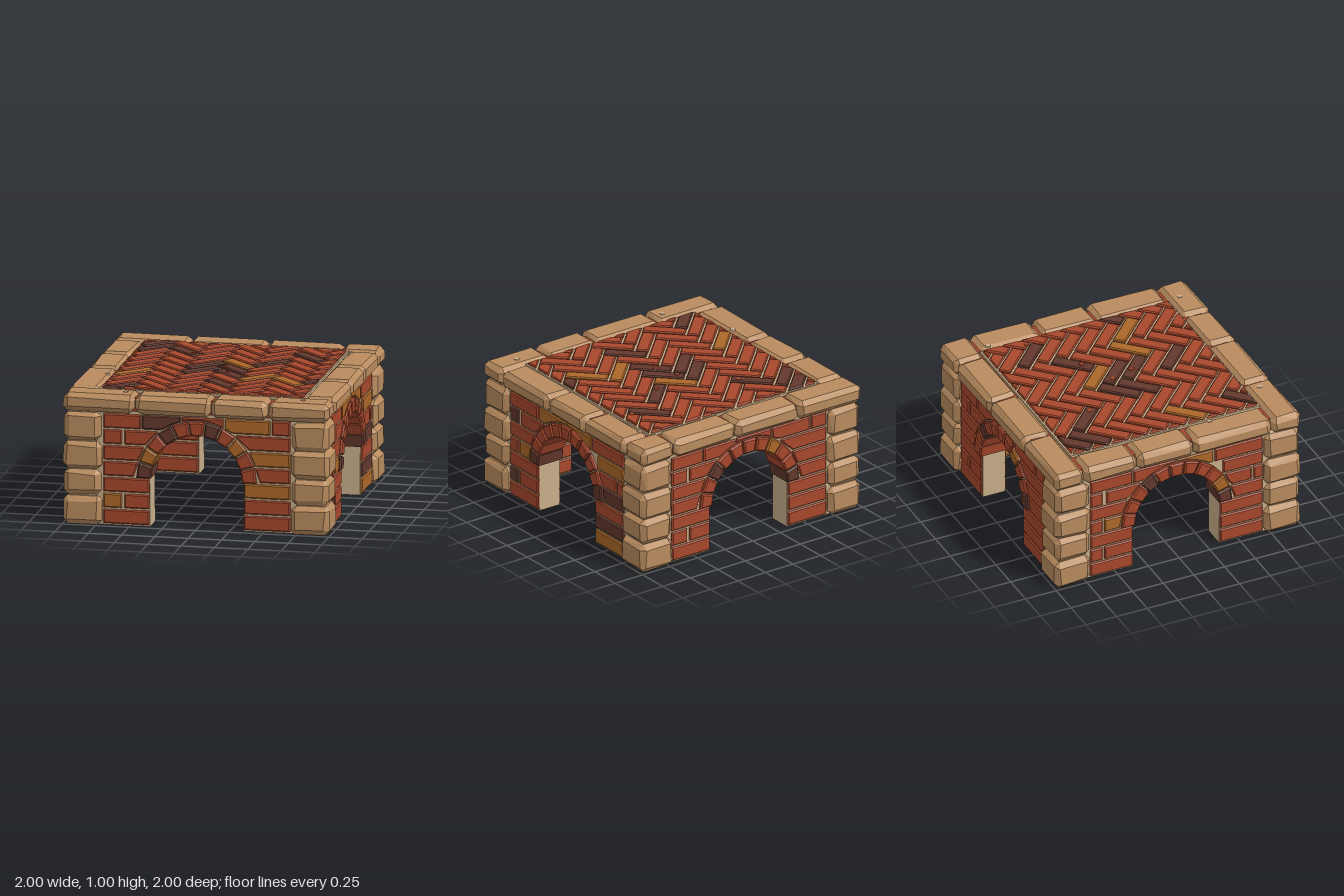
import * as THREE from 'three';
import { ConvexGeometry } from 'three/addons/geometries/ConvexGeometry.js';

const material = (name, color) => {
  const m = new THREE.MeshStandardMaterial({ color });
  m.name = name;
  return m;
};

export function createModel() {
  const mats = {
    r: material('red brick', 0xa8482c),
    d: material('dark brick', 0x63382d),
    o: material('ochre brick', 0xad6829),
    s: material('sandstone', 0xb98c5f),
    m: material('mortar', 0xc8ae8a),
    p: material('pale chip', 0xcdb08a),
  };
  const model = new THREE.Group();
  model.name = 'archedBrickPlatform';

  let seed = 7;
  const rand = () => (seed = (seed * 16807) % 2147483647) / 2147483647 - 0.5;

  const add = (parent, name, geometry, mat) => {
    const mesh = new THREE.Mesh(geometry, mats[mat]);
    mesh.name = name;
    parent.add(mesh);
    return mesh;
  };
  const group = (name, parent = model) => {
    const g = new THREE.Group();
    g.name = name;
    parent.add(g);
    return g;
  };
  const box = (parent, name, w, h, d, x, y, z, mat) =>
    add(parent, name, new THREE.BoxGeometry(w, h, d), mat).position.set(x, y, z);

  // Hewn block between two corners, with chamfered and slightly uneven edges
  const stone = (parent, name, lo, hi, c) => {
    const pts = [];
    for (let i = 0; i < 8; i++) {
      const side = [i & 1, (i >> 1) & 1, (i >> 2) & 1];
      for (let a = 0; a < 3; a++) {
        pts.push(new THREE.Vector3(...side.map((s, k) => {
          const inset = k === a ? 0 : c * (1 + rand() * 0.5);
          return s ? hi[k] - inset : lo[k] + inset;
        })));
      }
    }
    return add(parent, name, new ConvexGeometry(pts), 's');
  };

  // Bevelled prism of total thickness t, centred on z = 0
  const prism = (pts, t, b) => {
    const shape = new THREE.Shape(pts.map(([x, y]) => new THREE.Vector2(x, y)));
    const geo = new THREE.ExtrudeGeometry(shape, {
      depth: t - 2 * b, bevelEnabled: b > 0, bevelThickness: b,
      bevelSize: b, bevelOffset: -b, bevelSegments: 1,
    });
    return geo.translate(0, 0, b - t / 2);
  };

  // Walls: a mortar core with an arch, brick courses and an arch ring
  const CY = 0.36, RING = 0.455, OPEN = 0.35;
  const brickOutline = (x0, x1, y0, y1) => {
    const pts = [[x1, y1], [x0, y1]];
    if (y0 < CY) return [...pts, [x0, y0], [x1, y0]];
    const reach = y1 - CY < RING ? Math.sqrt(RING ** 2 - (y1 - CY - 0.01) ** 2) : 0;
    if (x0 > 0) x0 = Math.max(x0, reach);
    else if (x1 < 0) x1 = Math.min(x1, -reach);
    pts[0][0] = x1;
    pts[1][0] = x0;
    const n = Math.min(Math.abs(x0), Math.abs(x1)) < RING || x0 * x1 < 0 ? 8 : 1;
    for (let i = 0; i <= n; i++) {
      const x = x0 + (x1 - x0) * i / n;
      const arc = Math.abs(x) < RING ? CY + Math.sqrt(RING ** 2 - x * x) : 0;
      pts.push([x, Math.min(Math.max(y0, arc), y1 - 0.008)]);
    }
    return pts;
  };

  const buildWall = (name, angle, rows, ring) => {
    const wall = group(name);
    const core = [[-OPEN, 0], [-0.76, 0], [-0.76, 0.86], [0.76, 0.86], [0.76, 0], [OPEN, 0]];
    for (let i = 0; i <= 24; i++) {
      const a = Math.PI * i / 24;
      core.push([(OPEN + 0.004) * Math.cos(a), CY + (OPEN + 0.004) * Math.sin(a)]);
    }
    add(wall, 'mortarCore', prism(core, 0.18, 0), 'm');
    rows.forEach((row, j) => row.forEach(([x0, x1, c]) => {
      const y = 0.012 + j * 0.12;
      add(wall, 'wallBrick', prism(brickOutline(x0, x1, y, y + 0.106), 0.21, 0.009), c);
    }));
    [...ring].forEach((c, i) => {
      const mid = Math.PI * (1 - (i + 0.5) / 11), h = Math.PI / 22;
      const pts = [];
      for (const [r, s] of [[0.343, -1], [0.45, -1], [0.45, 1], [0.343, 1]]) {
        const a = mid + s * (h - 0.005 / r);
        pts.push([r * Math.cos(a), CY + r * Math.sin(a)]);
      }
      add(wall, 'archBrick', prism(pts, 0.235, 0.011), c);
    });
    wall.rotation.y = angle;
    wall.position.set(Math.sin(angle) * 0.855, 0, Math.cos(angle) * 0.855);
  };

  const frontRows = [
    [[-0.7, -0.355, 'r'], [0.355, 0.7, 'r']],
    [[-0.7, -0.56, 'o'], [-0.54, -0.355, 'r'], [0.355, 0.7, 'r']],
    [[-0.7, -0.355, 'r'], [0.355, 0.7, 'o']],
    [[-0.7, -0.44, 'r'], [0.44, 0.7, 'r']],
    [[-0.7, -0.4, 'r'], [0.4, 0.7, 'o']],
    [[-0.7, -0.56, 'r'], [-0.54, -0.28, 'r'], [0.28, 0.7, 'r']],
    [[-0.7, -0.42, 'r'], [-0.41, -0.12, 'd'], [-0.11, 0.2, 'r'], [0.21, 0.55, 'o'], [0.565, 0.7, 'r']],
  ];
  const sideRows = [
    [[-0.7, -0.355, 'r'], [0.355, 0.7, 'o']],
    [[-0.7, -0.6, 'd'], [-0.585, -0.355, 'r'], [0.355, 0.7, 'd']],
    [[-0.7, -0.355, 'r'], [0.355, 0.7, 'r']],
    [[-0.7, -0.6, 'r'], [-0.585, -0.44, 'o'], [0.44, 0.7, 'd']],
    [[-0.7, -0.4, 'r'], [0.4, 0.61, 'r'], [0.625, 0.7, 'r']],
    [[-0.7, -0.6, 'd'], [-0.57, -0.28, 'r'], [0.38, 0.7, 'o']],
    [[-0.7, -0.36, 'r'], [-0.35, -0.005, 'o'], [0.005, 0.3, 'o'], [0.315, 0.7, 'r']],
  ];
  // Rear and left walls repeat the bonds with fewer accent bricks
  const recolour = (rows, keep) => rows.map((row, j) =>
    row.map(([a, b, c], i) => [a, b, (i + j) % keep ? 'r' : c]));
  buildWall('frontWall', 0, frontRows, 'dorrdrrdrorr'.slice(0, 3) + 'drrdrorr');
  buildWall('rightWall', Math.PI / 2, sideRows, 'drrrrrrrrrd');
  buildWall('backWall', Math.PI, recolour(frontRows, 2), 'rrdrrrrorrd');
  buildWall('leftWall', -Math.PI / 2, recolour(sideRows, 2), 'rrrdrrrrrod');

  // Corner piers of four stacked stones
  const courses = [[0, 0.215], [0.22, 0.415], [0.418, 0.625], [0.628, 0.845]];
  for (const sx of [-1, 1]) for (const sz of [-1, 1]) {
    const pier = group('cornerPier');
    box(pier, 'pierCore', 0.2, 0.84, 0.2, sx * 0.855, 0.425, sz * 0.855, 'm');
    courses.forEach(([y0, y1], i) => {
      const e = 0.145 - (i % 2) * 0.006;
      stone(pier, 'pierStone', [sx * 0.853 - e, y0, sz * 0.853 - e],
        [sx * 0.853 + e, y1, sz * 0.853 + e], 0.036);
    });
  }

  // Coping stones around the deck
  const rim = group('copingStones');
  const Y0 = 0.85, Y1 = 0.988;
  const cuts = {
    back: [-1, -0.43, 0.14, 0.7, 1], front: [-1, -0.46, 0.11, 0.54, 1],
    left: [-0.76, -0.33, 0.13, 0.76], right: [-0.76, -0.26, 0.19, 0.76],
  };
  for (const [side, list] of Object.entries(cuts)) {
    for (let i = 0; i + 1 < list.length; i++) {
      const a = list[i] + 0.003, b = list[i + 1] - 0.003;
      const [n, f] = side === 'back' || side === 'left' ? [-1, -0.765] : [0.765, 1];
      if (side === 'back' || side === 'front') stone(rim, 'copingStone', [a, Y0, n], [b, Y1, f], 0.035);
      else stone(rim, 'copingStone', [n, Y0, a], [f, Y1, b], 0.035);
    }
  }

  // Deck slab, ceiling and mortar bed
  const deck = group('deck');
  box(deck, 'deckSlab', 1.86, 0.1, 1.86, 0, 0.91, 0, 'r');
  box(deck, 'ceiling', 1.6, 0.02, 1.6, 0, 0.852, 0, 'd');
  box(deck, 'mortarBed', 1.535, 0.02, 1.535, 0, 0.969, 0, 'm');

  // Herringbone paving, trimmed to the deck
  const LIMIT = 0.755;
  const clip = (pts) => {
    for (const [k, s] of [[0, 1], [0, -1], [1, 1], [1, -1]]) {
      const out = [];
      pts.forEach((p, i) => {
        const q = pts[(i + 1) % pts.length];
        const dp = LIMIT - s * p[k], dq = LIMIT - s * q[k];
        if (dp >= 0) out.push(p);
        if (dp * dq < 0) {
          const t = dp / (dp - dq);
          out.push([p[0] + (q[0] - p[0]) * t, p[1] + (q[1] - p[1]) * t]);
        }
      });
      pts = out;
    }
    return pts;
  };
  const area = (pts) => Math.abs(pts.reduce((sum, p, i) => {
    const q = pts[(i + 1) % pts.length];
    return sum + p[0] * q[1] - q[0] * p[1];
  }, 0)) / 2;
  const accents = [ // x, z, lean, colour
    [-0.62, -0.7, 1, 'd'], [-0.62, -0.544, 1, 'd'], [0.31, -0.233, 1, 'd'], [-0.15, -0.078, 1, 'd'],
    [-0.15, 0.078, 1, 'd'], [-0.62, 0.7, 1, 'd'], [0.78, 0.233, 1, 'd'], [-0.39, -0.466, -1, 'd'],
    [0.54, -0.466, -1, 'd'], [0.08, 0, -1, 'd'], [0.08, 0.156, -1, 'd'], [0.08, 0.467, -1, 'd'],
    [0.08, -0.155, -1, 'o'], [0.54, 0.311, -1, 'o'], [-0.62, 0.233, 1, 'o'], [0.31, 0.233, 1, 'o'],
  ];
  const L = 0.33, W = 0.11, PX = L * Math.SQRT2, PZ = W * Math.SQRT2, GAP = 0.017;
  for (const lean of [1, -1]) for (let i = -3; i <= 3; i++) for (let j = -8; j <= 8; j++) {
    const x = (lean > 0 ? 0.31 : 0.08) + i * PX, z = (lean > 0 ? -0.233 : -0.155) + j * PZ;
    const h = (L - GAP) / 2 * Math.SQRT1_2, v = (W - GAP) / 2 * Math.SQRT1_2;
    const pts = clip([[-1, -1], [1, -1], [1, 1], [-1, 1]].map(([a, b]) =>
      [x + a * h - lean * b * v, -z + lean * a * h + b * v]));
    if (pts.length < 3 || area(pts) < 0.0012) continue;
    const hit = accents.find((e) => e[2] === lean && Math.hypot(e[0] - x, e[1] - z) < 0.05);
    const brick = add(deck, 'pavingBrick', prism(pts, 0.04, 0.008), hit ? hit[3] : 'r');
    brick.rotation.x = -Math.PI / 2;
    brick.position.y = 0.977 + rand() * 0.005;
  }

  // Small worn chips on paving and coping
  const chips = [[0.27, -0.18, 'r'], [0, -0.06, 'r'], [0.06, 0.12, 'r'], [-0.31, -0.4, 'r'], [0.68, -0.43, 'r'],
    [0.8, -0.69, 'p'], [-0.8, 0.34, 'p'], [-0.55, 0.87, 'p'], [0.78, 0.86, 'p']];
  for (const [x, z, c] of chips) {
    add(deck, 'chip', new THREE.CylinderGeometry(0.02, 0.024, 0.008, 6), c)
      .position.set(x, c === 'r' ? 0.998 : 0.988, z);
  }
  return model;
}
